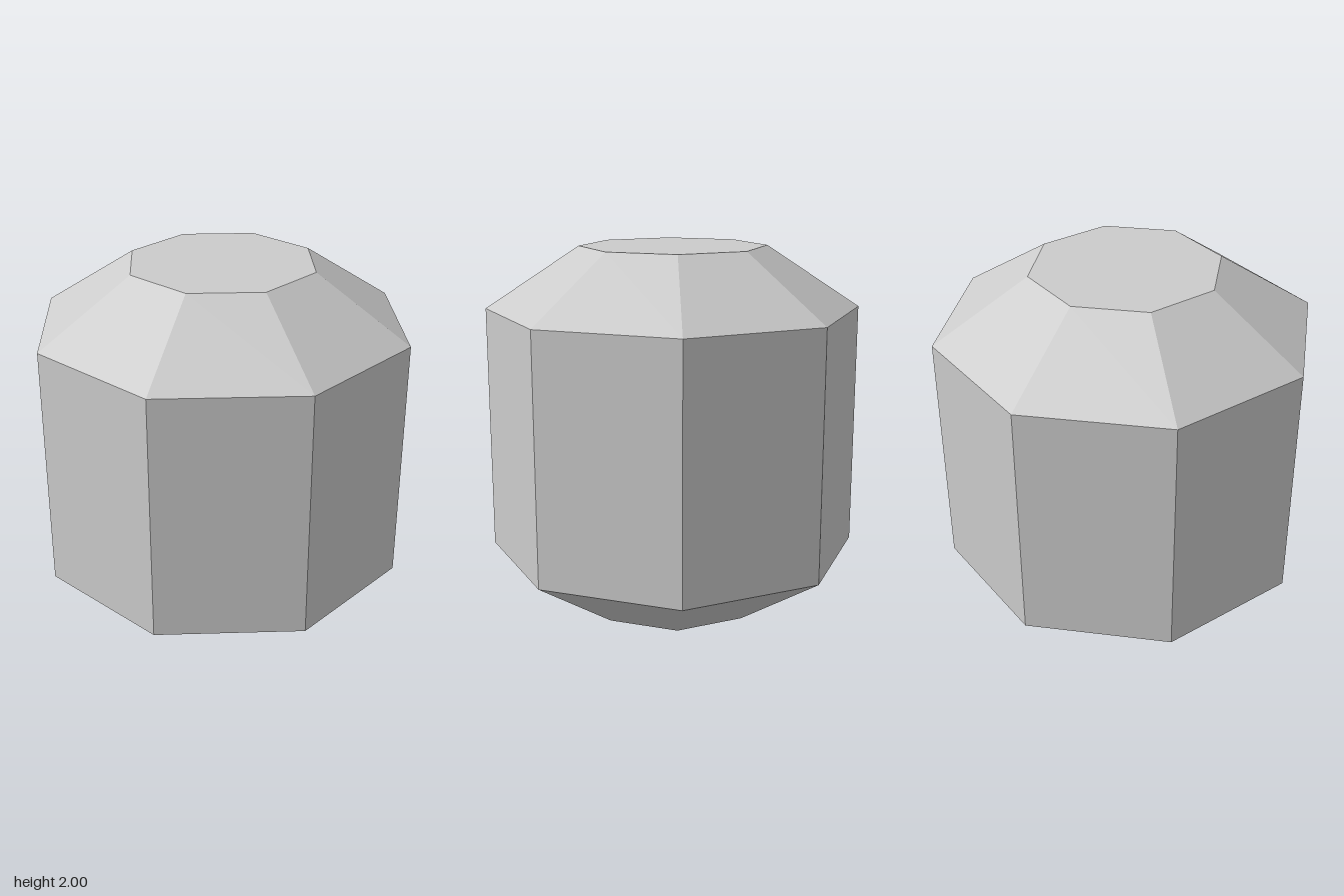
import * as THREE from 'three';

export function createModel() {
  const group = new THREE.Group();
  group.name = 'octagonalBlock';

  const sides = 8;
  const radius = 0.935 / Math.cos(Math.PI / sides); // corner radius from the flat-to-flat half width
  const capRadius = radius / 2;
  const height = 2;
  const bevel = height / 6;

  // Closed profile: bottom cap, lower bevel, straight wall, upper bevel, top cap
  const profile = [
    [0, 0],
    [capRadius, 0],
    [radius, bevel],
    [radius, height - bevel],
    [capRadius, height],
    [0, height],
  ].map(([x, y]) => new THREE.Vector2(x, y));

  // Half-step turn puts flat sides on the front, back, left and right
  const body = new THREE.Mesh(
    new THREE.LatheGeometry(profile, sides, Math.PI / sides),
    new THREE.MeshStandardMaterial({ color: 0xcccccc, flatShading: true })
  );
  body.name = 'bevelledBody';
  group.add(body);

  return group;
}
